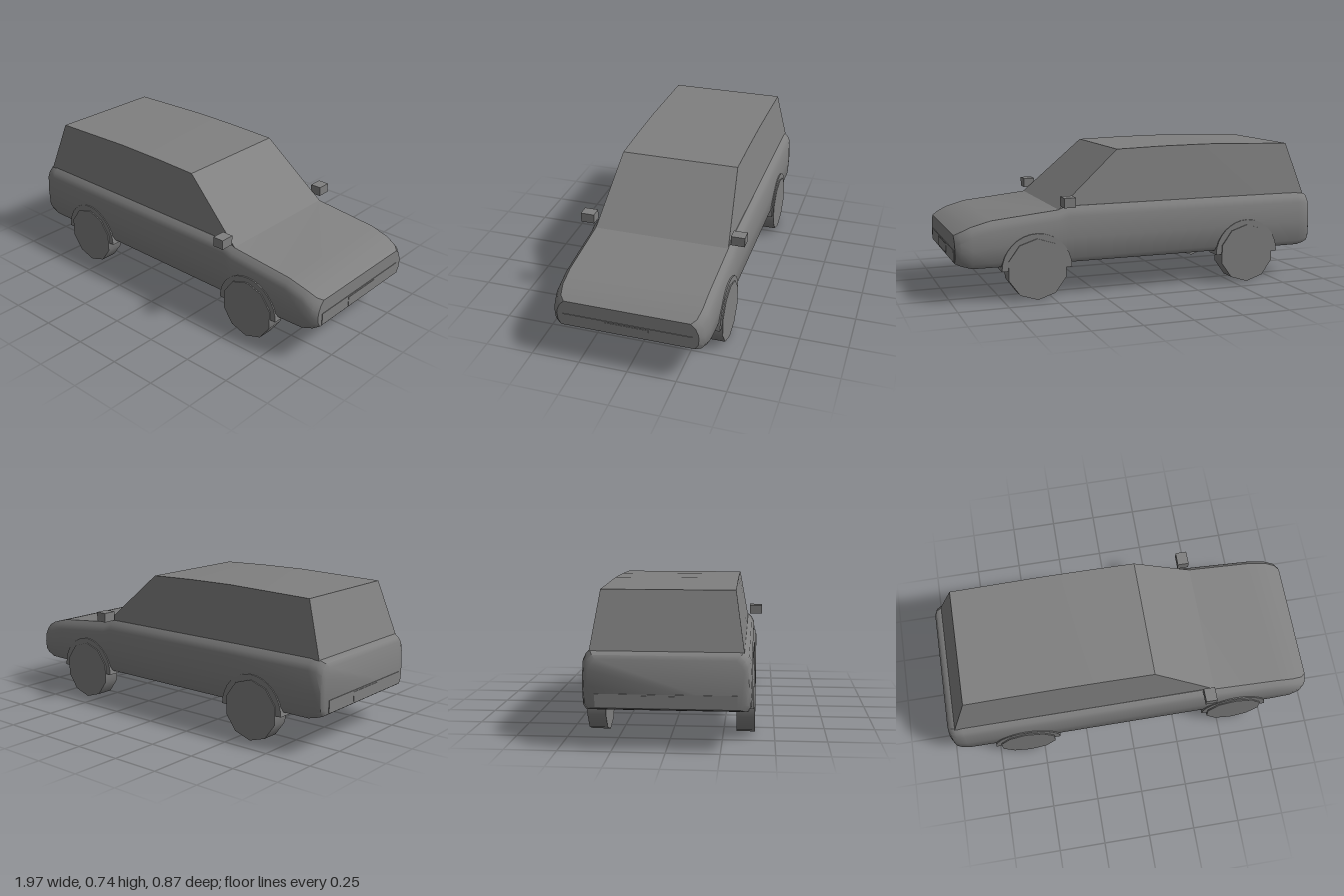
import * as THREE from 'three';
import { toCreasedNormals } from 'three/addons/utils/BufferGeometryUtils.js';

// Skin a list of equal-length rings (each running from +z over the top to -z), closed at both ends
function loft(rings, crease) {
  const n = rings[0].length, last = rings.length - 1, index = [];
  for (let i = 0; i < last; i++) {
    for (let j = 0; j < n; j++) {
      const a = i * n + j, b = i * n + (j + 1) % n, c = a + n, d = b + n;
      index.push(a, c, b, b, c, d);
    }
  }
  for (let j = 1; j < n - 1; j++) {
    index.push(0, j, j + 1);
    index.push(last * n, last * n + j + 1, last * n + j);
  }
  const g = new THREE.BufferGeometry();
  g.setAttribute('position', new THREE.Float32BufferAttribute(rings.flat(2), 3));
  g.setIndex(index);
  return toCreasedNormals(g, crease);
}

export function createModel() {
  const car = new THREE.Group();
  car.name = 'stationWagon';
  const grey = new THREE.MeshStandardMaterial({ color: 0x808080 });
  grey.name = 'grey';

  const add = (name, geometry, x = 0, y = 0, z = 0) => {
    const mesh = new THREE.Mesh(geometry, grey);
    mesh.name = name;
    mesh.position.set(x, y, z);
    car.add(mesh);
    return mesh;
  };

  // Lower body: x, half width, top, bottom
  const stations = [
    [-0.98, 0.36, 0.425, 0.2], [-0.968, 0.378, 0.443, 0.192], [-0.94, 0.389, 0.457, 0.184],
    [-0.9, 0.394, 0.46, 0.175], [-0.4, 0.395, 0.46, 0.175], [0.41, 0.395, 0.457, 0.175],
    [0.46, 0.395, 0.44, 0.175], [0.8, 0.394, 0.405, 0.175], [0.9, 0.391, 0.378, 0.175],
    [0.955, 0.38, 0.352, 0.19], [0.98, 0.357, 0.338, 0.2],
  ];
  add('body', loft(stations.map(([x, w, top, low]) => {
    const half = [
      [w - 0.02, low], [w - 0.004, low + 0.025], [w, low + (top - low) * 0.45],
      [w - 0.005, top - 0.05], [w - 0.018, top - 0.022], [w - 0.04, top],
    ];
    const left = half.map(([z, y]) => [x, y, z]);
    const right = half.map(([z, y]) => [x, y, -z]).reverse();
    return [...left, ...right];
  }), 0.6));

  // Cabin: lower x, lower y, upper x, upper y
  const cabin = [
    [-0.94, 0.455, -0.85, 0.73], [-0.4, 0.455, -0.38, 0.741],
    [-0.1, 0.455, -0.12, 0.738], [0.46, 0.438, 0.13, 0.73],
  ];
  add('cabin', loft(cabin.map(([x0, y0, x1, y1]) => [
    [x0, y0, 0.355], [x1, y1, 0.313], [x1, y1, -0.313], [x0, y0, -0.355],
  ]), 0.3));

  // Bumpers and number plates
  for (const [end, s] of [['front', 1], ['rear', -1]]) {
    add(end + 'Bumper', new THREE.BoxGeometry(0.006, 0.062, 0.65), s * 0.98, 0.235, 0);
    add(end + 'NumberPlate', new THREE.BoxGeometry(0.006, 0.048, 0.22), s * 0.982, 0.235, 0);
  }

  // Wheels with half-round arches
  const wheel = new THREE.CylinderGeometry(0.155, 0.155, 0.09, 10).rotateX(Math.PI / 2);
  const archShape = new THREE.Shape();
  archShape.absarc(0, 0, 0.18, 0, Math.PI, false);
  archShape.closePath();
  const arch = new THREE.ExtrudeGeometry(archShape, { depth: 0.083, bevelEnabled: false, curveSegments: 8 })
    .translate(0, 0, -0.0415);
  for (const [side, s] of [['Left', 1], ['Right', -1]]) {
    for (const [end, x] of [['front', 0.58], ['rear', -0.58]]) {
      add(end + side + 'Wheel', wheel, x, 0.155, s * 0.36);
      add(end + side + 'Arch', arch, x, 0.155, s * 0.3575);
    }
    // Door mirror
    add('mirror' + side, new THREE.BoxGeometry(0.06, 0.05, 0.072), 0.42, 0.485, s * 0.401);
  }
  return car;
}
